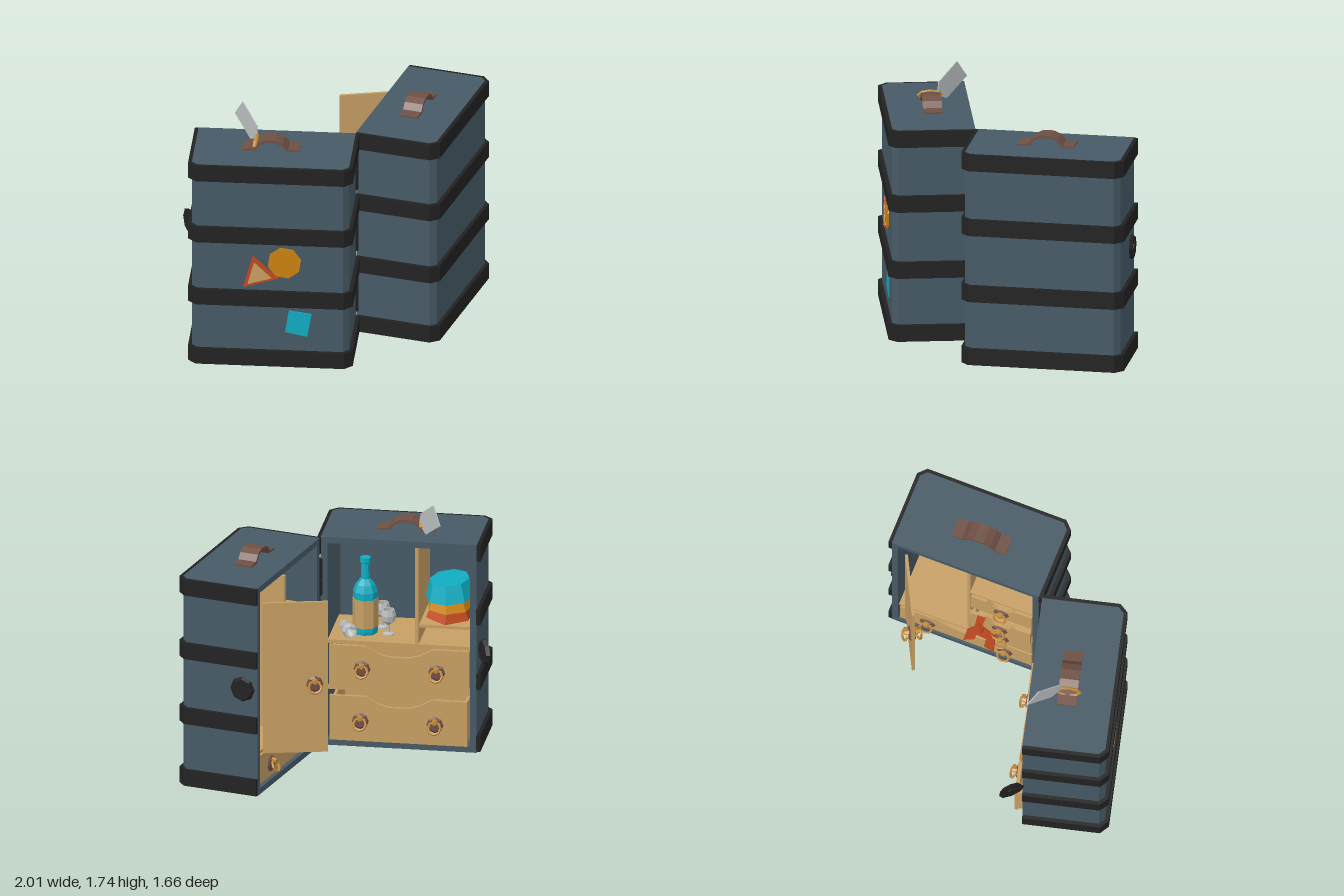
import * as THREE from 'three';

const colours = {
  blueLeather: 0x475a66, blackTrim: 0x222222, wood: 0xc79f64, brownLeather: 0x6f5044, gold: 0xc48a3a,
  cyan: 0x10acc2, amber: 0xcc830e, red: 0xc04a20, paleGlass: 0xb9bdbd,
};
const mats = {};
for (const [name, color] of Object.entries(colours)) {
  mats[name] = new THREE.MeshStandardMaterial({ color });
  mats[name].name = name;
}

// Adds a faceted mesh to a group
function add(parent, name, geo, mat, x = 0, y = 0, z = 0) {
  const flat = geo.index ? geo.toNonIndexed() : geo;
  flat.computeVertexNormals();
  const m = new THREE.Mesh(flat, mats[mat]);
  m.name = name;
  m.position.set(x, y, z);
  parent.add(m);
  return m;
}
function group(parent, name, x = 0, y = 0, z = 0) {
  const g = new THREE.Group();
  g.name = name;
  g.position.set(x, y, z);
  parent.add(g);
  return g;
}
const extrude = (pts, depth) => new THREE.ExtrudeGeometry(
  new THREE.Shape(pts.map(p => new THREE.Vector2(...p))), { depth, bevelEnabled: false });
const lathe = (pts, n = 8) => new THREE.LatheGeometry(pts.map(p => new THREE.Vector2(...p)), n);
// Box given by its two corners
function box(parent, name, mat, x0, x1, y0, y1, z0, z1) {
  return add(parent, name, new THREE.BoxGeometry(x1 - x0, y1 - y0, z1 - z0), mat,
    (x0 + x1) / 2, (y0 + y1) / 2, (z0 + z1) / 2);
}

// Plan of one half, grown by o: open side at 0, back corners cut
const W = 1.115;
function plan(o) {
  const a = 0.025 - o, b = 0.065 - o * 0.4, d = 0.52 + o * 0.4, e = 0.56 + o;
  return [[a, 0], [W - a, 0], [W - a, d], [W - b, e], [b, e], [a, d]];
}
const upright = (pts, h) => extrude(pts, h).rotateX(-Math.PI / 2);
// Three-sided wall between two plans
function wall(outer, inner, h) {
  const [o, i] = [plan(outer), plan(inner)];
  return upright([...o.slice(1), o[0], i[0], ...i.slice(2).reverse(), i[1]], h);
}

function trunkHalf(parent, name) {
  const g = group(parent, name);
  add(g, 'caseWalls', wall(0, -0.045, 1.41), 'blueLeather', 0, 0.045, 0);
  for (const y of [0.003, 1.455]) add(g, 'caseEnd', upright(plan(0), 0.043), 'blueLeather', 0, y, 0);
  for (const y of [0.01, 0.455, 0.922, 1.38]) {
    add(g, 'band', wall(0.025, -0.003, 0.115), 'blackTrim', 0, y, 0);
  }
  // Arched carrying handle
  const top = [[-0.195, 0], [-0.195, 0.014], [-0.12, 0.02], [-0.085, 0.06], [-0.035, 0.083]];
  const low = [[-0.11, 0], [-0.075, 0.045], [-0.03, 0.064]];
  const flip = a => a.map(([x, y]) => [-x, y]).reverse();
  add(g, 'handle', extrude([...top, ...flip(top), ...flip(low).reverse(), ...low.slice().reverse()], 0.13),
    'brownLeather', 0.575, 1.495, -0.325);
  return g;
}

// Ring pull on a round plate, facing +z
function ringPull(parent, x, y, z) {
  const g = group(parent, 'ringPull', x, y, z);
  add(g, 'pullPlate', new THREE.CylinderGeometry(0.045, 0.058, 0.012, 8).rotateX(Math.PI / 2), 'brownLeather', 0, 0, 0.006);
  add(g, 'pullKnob', new THREE.CylinderGeometry(0.016, 0.022, 0.035, 6).rotateX(Math.PI / 2), 'gold', 0, 0.025, 0.025);
  add(g, 'pullRing', new THREE.TorusGeometry(0.043, 0.009, 5, 8), 'gold', 0, -0.012, 0.036).rotation.x = -0.45;
  return g;
}

// Drawer with a dipped front, its front face at z
function drawer(parent, x0, x1, y0, y1, z, pulls, depth = 0.42) {
  const g = group(parent, 'drawer');
  const w = x1 - x0, c = (x0 + x1) / 2, dip = Math.min(0.07, (y1 - y0) * 0.25);
  add(g, 'drawerFront', extrude([[x0, y0], [x1, y0], [x1, y1], [c + w * 0.24, y1], [c + w * 0.15, y1 - dip * 0.7],
    [c + w * 0.07, y1 - dip], [c - w * 0.07, y1 - dip], [c - w * 0.15, y1 - dip * 0.7], [c - w * 0.24, y1], [x0, y1]], 0.025),
    'wood', 0, 0, z - 0.025);
  const h = y1 - 0.03;
  box(g, 'drawerBase', 'wood', x0 + 0.01, x1 - 0.01, y0, y0 + 0.02, z - depth, z - 0.02);
  for (const x of [x0 + 0.01, x1 - 0.03]) box(g, 'drawerSide', 'wood', x, x + 0.02, y0, h, z - depth, z - 0.02);
  box(g, 'drawerBack', 'wood', x0 + 0.01, x1 - 0.01, y0, h, z - depth, z - depth + 0.02);
  for (const x of pulls) ringPull(g, x, (y0 + y1) / 2 - 0.015, z);
}

function goblet(parent, x, y, z) {
  const g = group(parent, 'goblet', x, y, z);
  add(g, 'glass', lathe([[0, 0], [0.04, 0], [0.04, 0.008], [0.008, 0.018], [0.008, 0.07], [0.045, 0.1],
    [0.052, 0.14], [0.042, 0.18], [0.036, 0.18], [0.04, 0.14], [0, 0.09]]), 'paleGlass');
  return g;
}

function disc(parent, name) {
  const g = group(parent, name);
  add(g, 'latchPlate', new THREE.CylinderGeometry(0.075, 0.092, 0.025, 8).rotateZ(Math.PI / 2), 'blackTrim');
  add(g, 'latchBoss', new THREE.CylinderGeometry(0.04, 0.04, 0.034, 8).rotateZ(Math.PI / 2), 'blackTrim');
  return g;
}

export function createModel() {
  const model = new THREE.Group();
  model.name = 'wardrobeTrunk';

  // Front half, opening to the rear
  const a = trunkHalf(model, 'drawerHalf');
  a.position.set(0.195, 0, 0.24);
  a.rotation.y = Math.PI;
  drawer(a, 0.095, 1.035, 0.065, 0.385, 0.06, [0.305, 0.815], 0.5);
  drawer(a, 0.08, 1.035, 0.425, 0.72, -0.015, [0.305, 0.815]);
  box(a, 'drawerRail', 'wood', 0.07, 1.045, 0.395, 0.42, -0.5, -0.03);
  box(a, 'shelf', 'wood', 0.07, 1.045, 0.73, 0.755, -0.51, -0.02);
  box(a, 'divider', 'wood', 0.665, 0.69, 0.755, 1.455, -0.51, -0.03);
  box(a, 'smallShelf', 'wood', 0.69, 1.045, 0.87, 0.89, -0.51, -0.04);

  // Folded clothes
  [['red', 0.89, 0.07, 0.2], ['amber', 0.96, 0.07, 0.19], ['cyan', 1.03, 0.12, 0.2]].forEach(([mat, y, h, r], i) => {
    const fold = add(a, 'foldedCloth', new THREE.CylinderGeometry(r * 0.8, r, h, 6 + i).scale(0.85, 1, 1.1), mat, 0.867, y + h / 2, -0.27);
    fold.rotation.z = (i - 1) * 0.06;
  });

  // Bottle and glasses
  const bottle = group(a, 'bottle', 0.3, 0.755, -0.2);
  add(bottle, 'bottleGlass', lathe([[0, 0], [0.08, 0], [0.085, 0.02], [0.085, 0.3], [0.065, 0.35], [0.032, 0.39],
    [0.03, 0.5], [0.038, 0.505], [0.038, 0.54], [0, 0.54]]), 'cyan');
  add(bottle, 'bottleLabel', new THREE.CylinderGeometry(0.089, 0.089, 0.2, 8), 'wood', 0, 0.15, 0);
  goblet(a, 0.4, 0.755, -0.31);
  goblet(a, 0.46, 0.755, -0.18);
  const tipped = goblet(a, 0.16, 0.805, -0.18);
  tipped.rotation.set(1.5, 0, -0.4);

  // Swung-out latch
  const latch = disc(a, 'openLatch');
  latch.position.set(1.15, 0.76, 0.07);
  latch.rotation.y = 0.52;

  // Swung half, opening to the side
  const b = trunkHalf(model, 'wardrobeHalf');
  b.position.set(0.442, 0, -0.84);
  b.rotation.y = -1.82;
  drawer(b, 0.08, 1.035, 0.065, 0.27, -0.01, [0.28, 0.84]);
  box(b, 'shelf', 'wood', 0.07, 1.045, 0.275, 0.295, -0.51, -0.02);
  box(b, 'divider', 'wood', 0.56, 0.585, 0.295, 1.4, -0.51, -0.03);
  box(b, 'cabinetTop', 'wood', 0.585, 1.045, 1.015, 1.035, -0.51, -0.02);
  [0.3, 0.54, 0.78].forEach((y, i) => {
    drawer(b, 0.595, 1.035, y, y + 0.21, i === 1 ? 0.02 : -0.01, [0.815]);
    if (i) box(b, 'drawerRail', 'wood', 0.585, 1.045, y - 0.025, y - 0.01, -0.5, -0.03);
  });

  // Hanging rail
  add(b, 'rail', new THREE.CylinderGeometry(0.012, 0.012, 0.49, 6).rotateZ(Math.PI / 2), 'paleGlass', 0.315, 1.34, -0.25);
  for (const x of [0.16, 0.25, 0.34]) {
    add(b, 'hanger', new THREE.TorusGeometry(0.12, 0.01, 4, 3).rotateZ(Math.PI / 2).rotateY(Math.PI / 2), 'paleGlass', x, 1.22, -0.25);
  }

  // Open wardrobe door
  const door = group(b, 'wardrobeDoor', 0.12, 0, 0);
  door.rotation.y = -1.09;
  box(door, 'doorPanel', 'wood', 0, 0.44, 0.28, 1.36, -0.02, 0);
  const pull = ringPull(door, 0.35, 0.77, 0);
  const backPull = ringPull(door, 0.35, 0.77, -0.02);
  backPull.rotation.y = Math.PI;
  pull.visible = true;

  // Scarf trailing out of a drawer
  const scarf = add(b, 'scarf', extrude([[0.66, 0.79], [0.72, 0.8], [0.7, 0.67], [0.8, 0.6], [0.8, 0.37], [0.73, 0.41],
    [0.74, 0.52], [0.67, 0.53], [0.66, 0.46], [0.58, 0.39], [0.6, 0.55], [0.65, 0.63]].map(([x, y]) => [x, y - 0.8]), 0.012),
    'red', 0, 0.8, 0.03);
  scarf.rotation.x = -0.14;
  const fold = add(b, 'scarfFold', extrude([[0, 0], [0.1, 0.04], [0.06, -0.16]], 0.012), 'red', 0.66, 0.74, 0.03);
  fold.rotation.y = -0.7;
  disc(b, 'latchKeeper').position.set(0.016, 0.76, -0.11);

  // Hinges between the halves
  for (const y of [0.295, 0.75, 1.21]) {
    for (let i = -2; i <= 2; i++) {
      add(model, 'hingeKnuckle', new THREE.CylinderGeometry(0.017, 0.017, 0.046, 6), 'blackTrim', 0.174, y + i * 0.052, 0.236);
    }
    add(model, 'hingePin', new THREE.CylinderGeometry(0.011, 0.011, 0.27, 6), 'blackTrim', 0.174, y, 0.236);
  }

  // Travel stickers
  const sticker = (mat, pts, z) => add(model, 'sticker', extrude(pts, 0.008), mat, 0, 0, z);
  const octagon = r => Array.from({ length: 8 }, (_, i) => {
    const t = (i + 0.3) * Math.PI / 4;
    return [-0.265 + r * Math.cos(t), 0.78 + r * Math.sin(t)];
  });
  sticker('amber', octagon(0.116), 0.8);
  sticker('amber', octagon(0.095), 0.802);
  sticker('red', [[-0.545, 0.592], [-0.305, 0.665], [-0.48, 0.83]], 0.804);
  sticker('wood', [[-0.515, 0.617], [-0.35, 0.667], [-0.47, 0.782]], 0.807);
  sticker('cyan', [[-0.26, 0.265], [-0.11, 0.235], [-0.08, 0.405], [-0.235, 0.425]], 0.802);

  // Luggage tag and its loop
  const loop = add(model, 'tagLoop', new THREE.TorusGeometry(0.08, 0.012, 5, 8).scale(1, 0.42, 1).rotateY(Math.PI / 2), 'gold', -0.487, 1.54, 0.5);
  loop.rotation.z = -0.3;
  const tag = add(model, 'tag', extrude([[0.012, 0.04], [-0.071, 0], [-0.258, 0.12], [-0.168, 0.24], [0, 0.13]], 0.008),
    'paleGlass', -0.48, 1.5, 0.44);
  tag.rotation.y = -0.89;
  return model;
}
